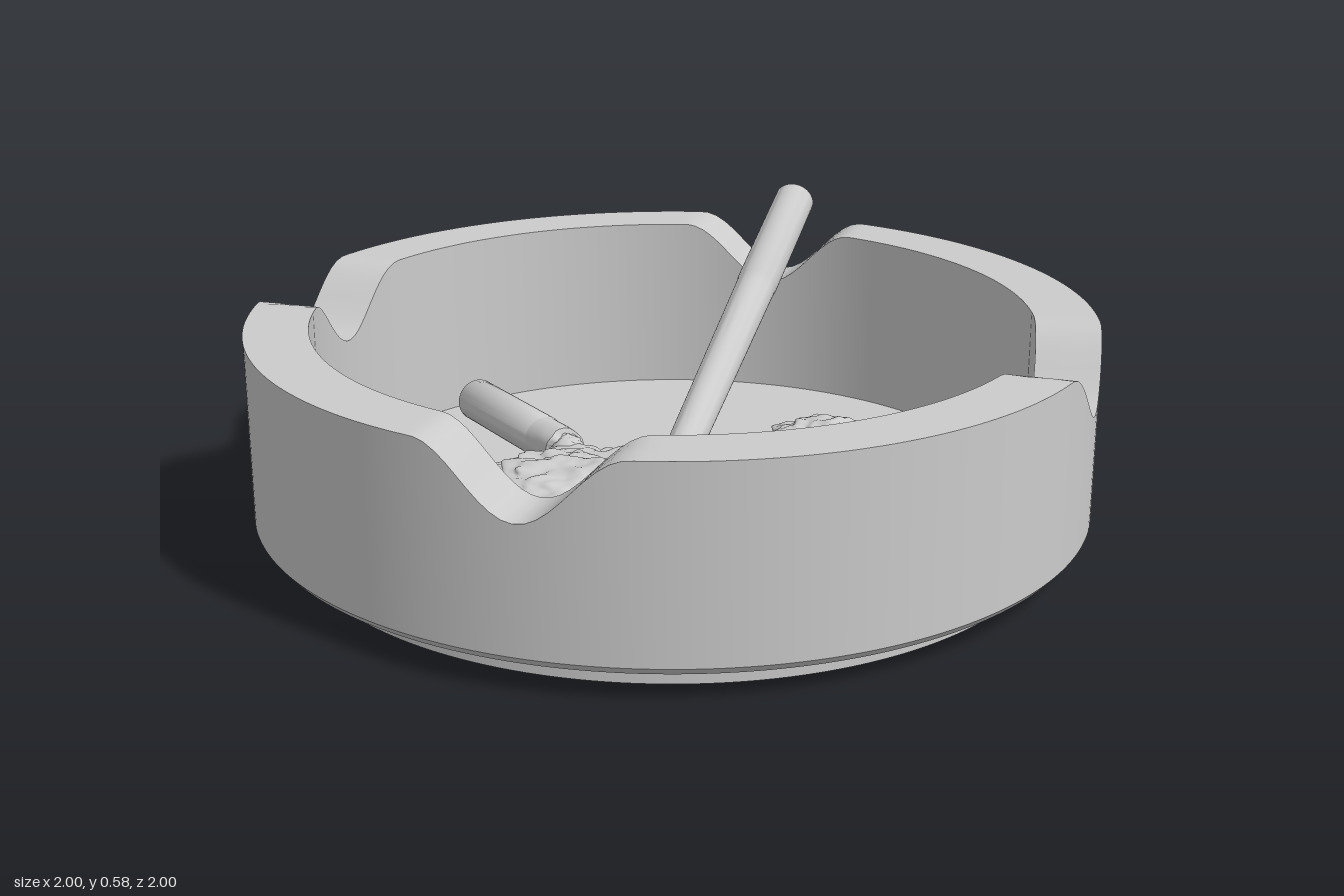
import * as THREE from 'three';
import { mergeVertices, toCreasedNormals } from 'three/addons/utils/BufferGeometryUtils.js';

const material = new THREE.MeshStandardMaterial({ color: 0xcccccc });
const FLOOR = 0.07, RIM = 0.52;
const vec = (x, y, z) => new THREE.Vector3(x, y, z);
const lerp = THREE.MathUtils.lerp;

function addMesh(parent, name, geometry) {
  const mesh = new THREE.Mesh(geometry, material);
  mesh.name = name;
  parent.add(mesh);
  return mesh;
}

// Smooth lattice noise in the range -1..1
function hash(x, y, z) {
  const s = Math.sin(x * 127.1 + y * 311.7 + z * 74.7) * 43758.5453;
  return s - Math.floor(s);
}
function noise(x, y, z) {
  const i = [x, y, z].map(Math.floor);
  const f = [x - i[0], y - i[1], z - i[2]].map((t) => t * t * (3 - 2 * t));
  let sum = 0;
  for (let c = 0; c < 8; c++) {
    const b = [c & 1, (c >> 1) & 1, c >> 2];
    const w = b.reduce((p, on, k) => p * (on ? f[k] : 1 - f[k]), 1);
    sum += w * hash(i[0] + b[0], i[1] + b[1], i[2] + b[2]);
  }
  return sum * 2 - 1;
}

// Move every vertex by a rule
function deform(geometry, rule) {
  const p = geometry.attributes.position, v = vec(0, 0, 0);
  for (let i = 0; i < p.count; i++) {
    rule(v.fromBufferAttribute(p, i));
    p.setXYZ(i, v.x, v.y, v.z);
  }
  geometry.computeVertexNormals();
  return geometry;
}

function lathe(points, segments) {
  return new THREE.LatheGeometry(points.map(([x, y]) => new THREE.Vector2(x, y)), segments);
}

// Round bowl whose rim dips into four rests running radially
function bowlGeometry() {
  const geometry = lathe([
    [0, 0], [0.905, 0], [0.905, 0.03], [0.92, 0.03], [0.985, 0.062], [1, 0.08],
    [1, RIM], [0.95, RIM], [0.9, RIM], [0.85, RIM], [0.85, FLOOR], [0, FLOOR],
  ], 256);
  deform(geometry, (v) => {
    if (v.y < RIM - 0.01) return;
    const quarter = Math.PI / 2;
    let a = Math.atan2(v.z, v.x) - THREE.MathUtils.degToRad(42);
    a -= Math.round(a / quarter) * quarter;
    const t = Math.min(1, Math.abs(Math.hypot(v.x, v.z) * Math.sin(a)) / 0.23);
    v.y -= 0.15 * (0.5 + 0.5 * Math.cos(Math.PI * t));
  });
  return toCreasedNormals(geometry, 0.5);
}

// Lumpy heap of ash, flat underneath
function ashHeap(parent, name, x, z, rx, height, rz, detail, frequency, seed) {
  const raw = new THREE.IcosahedronGeometry(1, detail);
  raw.deleteAttribute('uv');
  raw.deleteAttribute('normal');
  const geometry = deform(mergeVertices(raw, 1e-4), (v) => {
    const n = (f) => noise(v.x * f + seed, v.y * f + seed, v.z * f + seed);
    const k = 0.96 + 0.08 * n(2) + 0.12 * n(frequency) + 0.06 * n(frequency * 2.1);
    v.multiplyScalar(k);
    v.set(v.x * rx, Math.max(v.y, -0.35) * height, v.z * rz);
  });
  addMesh(parent, name, geometry).position.set(x, FLOOR + 0.35 * height - 0.005, z);
}

// Paper tube from its filter end to its burnt end, with a crumbling ash tip
function cigarette(parent, name, from, to, o) {
  const group = new THREE.Group();
  group.name = name;
  const length = from.distanceTo(to), r = 0.055, seam = o.seam;
  const profile = [[0, 0], [r - 0.002, 0], [r, 0.004], [r, seam], [r - 0.002, seam + 0.003]];
  for (let i = 1; i <= 16; i++) profile.push([o.endRadius ? lerp(r - 0.002, o.endRadius, i / 16) : r - 0.002, lerp(seam + 0.003, length, i / 16)]);
  profile.push([0.03, length + 0.004], [0, length]);
  const paper = deform(lathe(profile, 40), (v) => {
    const burnt = THREE.MathUtils.smoothstep(v.y, length - o.wrinkle, length);
    const d = 1 + 0.1 * burnt * noise(v.x * 30 + o.seed, v.y * 22, v.z * 30);
    v.x *= d;
    v.z *= d;
    if (v.y > length - 0.002) v.y += 0.012 * noise(v.x * 50, o.seed, v.z * 50);
  });
  addMesh(group, 'paperTube', toCreasedNormals(paper, 0.7));

  const tr = o.tipRadius;
  const raw = new THREE.CapsuleGeometry(tr, o.tip, 8, 32, 14);
  raw.deleteAttribute('uv');
  raw.deleteAttribute('normal');
  const ash = deform(mergeVertices(raw, 1e-5), (v) => {
    const n = noise(v.x * 45 + o.seed, v.y * 45, v.z * 45);
    const fine = noise(v.x * 95, v.y * 95 + o.seed, v.z * 95);
    const d = 1 + 0.2 * n + 0.1 * fine;
    v.set(v.x * d, v.y + 0.008 * n, v.z * d);
  });
  addMesh(group, 'ashTip', ash).position.y = length + o.tip / 2 - tr * 0.4;

  group.position.copy(from);
  group.quaternion.setFromUnitVectors(vec(0, 1, 0), to.clone().sub(from).normalize());
  parent.add(group);
}

export function createModel() {
  const model = new THREE.Group();
  model.name = 'ashtray';
  addMesh(model, 'bowl', bowlGeometry());

  // Long one resting in a rim notch, two stubs on the floor
  cigarette(model, 'restingCigarette', vec(0.755, 0.535, -0.845), vec(0.055, 0.135, -0.07),
    { seam: 0.41, wrinkle: 0.12, endRadius: 0.044, tip: 0.08, tipRadius: 0.037, seed: 3 });
  cigarette(model, 'backStub', vec(-0.265, 0.125, -0.685), vec(-0.215, 0.15, -0.17),
    { seam: 0.4, wrinkle: 0.1, endRadius: 0.052, tip: 0.04, tipRadius: 0.04, seed: 8 });
  cigarette(model, 'frontStub', vec(-0.47, 0.125, 0.56), vec(0.14, 0.122, 0.523),
    { seam: 0.42, wrinkle: 0.25, endRadius: 0.046, tip: 0.09, tipRadius: 0.04, seed: 15 });

  // Ash on the floor
  ashHeap(model, 'largeAshHeap', -0.27, 0.1, 0.305, 0.115, 0.3, 36, 5.5, 4.3);
  ashHeap(model, 'mediumAshHeap', 0.445, -0.025, 0.168, 0.085, 0.168, 24, 5, 11.7);
  ashHeap(model, 'smallAshHeap', 0.415, 0.235, 0.085, 0.06, 0.1, 18, 4, 21.2);
  ashHeap(model, 'ashCrumb', 0.08, 0.235, 0.048, 0.035, 0.048, 12, 3.5, 31.9);
  return model;
}
